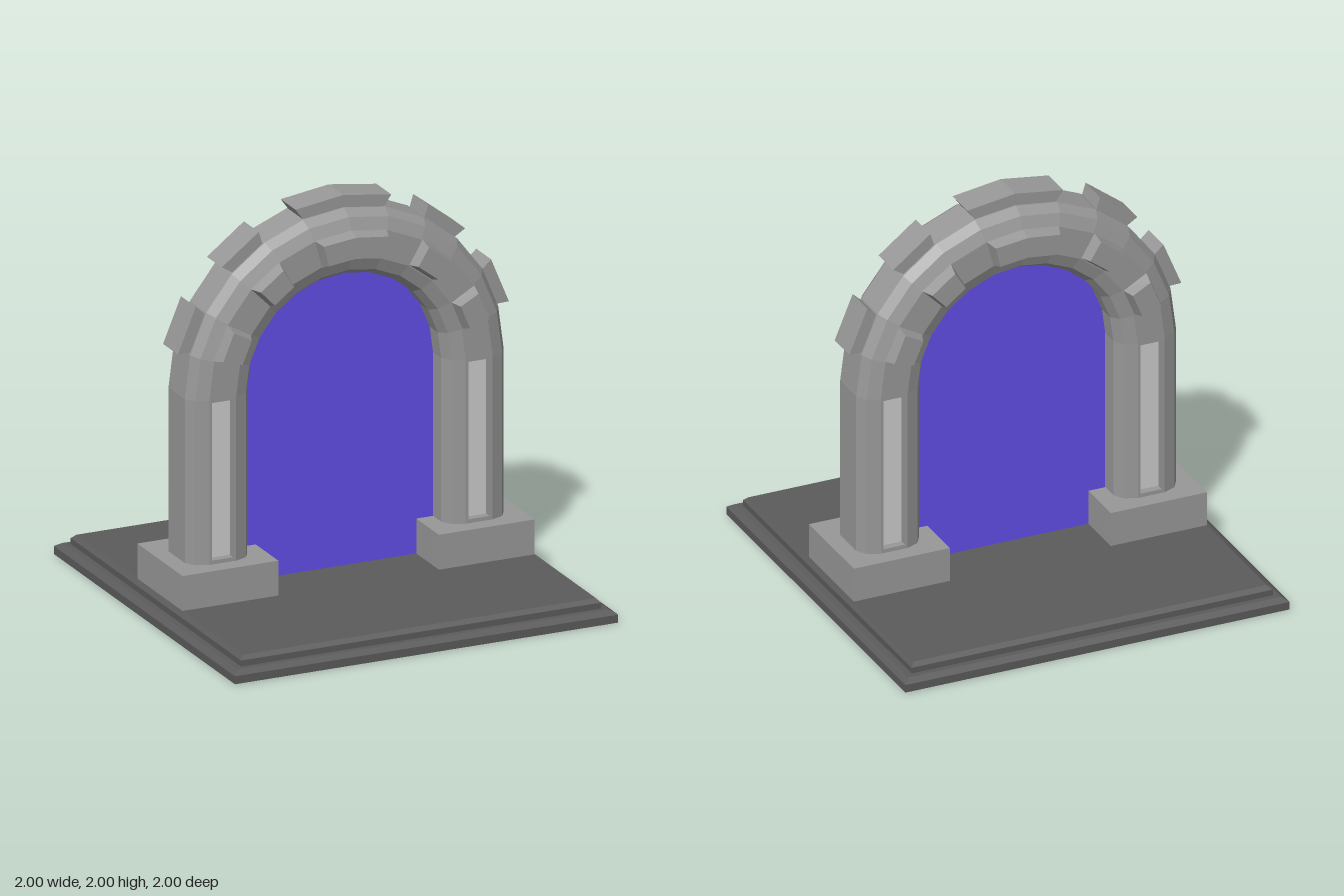
import * as THREE from 'three';

const paint = color => new THREE.MeshStandardMaterial({ color, flatShading: true });
const stone = paint(0x989898);
const darkStone = paint(0x5b5b5b);
const paleStone = paint(0xcccccc);
const violet = new THREE.MeshStandardMaterial({ color: 0x624ee7, side: THREE.DoubleSide });

const SPRING = 1.107;   // height where the legs turn into the arch
const MID = 0.669;      // centre line radius of the arch
const STEP = Math.PI / 12;

function add(parent, name, geometry, material = stone) {
  const mesh = new THREE.Mesh(geometry, material);
  mesh.name = name;
  parent.add(mesh);
  return mesh;
}

// Skin a row of closed rings (counter-clockwise about the travel direction)
function loft(rings, capped) {
  const pos = [];
  const tri = (...pts) => pts.forEach(p => pos.push(...p));
  const n = rings[0].length;
  for (let i = 0; i < rings.length - 1; i++) {
    const a = rings[i], b = rings[i + 1];
    for (let j = 0; j < n; j++) {
      const k = (j + 1) % n;
      tri(a[j], a[k], b[k]);
      tri(a[j], b[k], b[j]);
    }
  }
  if (capped) {
    const s = rings[0], e = rings[rings.length - 1];
    for (let j = 1; j < n - 1; j++) {
      tri(s[0], s[j + 1], s[j]);
      tri(e[0], e[j], e[j + 1]);
    }
  }
  const g = new THREE.BufferGeometry();
  g.setAttribute('position', new THREE.Float32BufferAttribute(pos, 3));
  g.computeVertexNormals();
  return g;
}

// Sweep [radius, z, extra half angle] corners round the arch centre
function sweep(from, to, corners, capped) {
  const n = Math.round((to - from) / STEP);
  const mid = (from + to) / 2, half = (to - from) / 2;
  const rings = [];
  for (let i = 0; i <= n; i++) {
    rings.push(corners.map(([r, z, grow = 0]) => {
      const a = mid + (half + grow) * (2 * i / n - 1);
      return [r * Math.sin(a), SPRING + r * Math.cos(a), z];
    }));
  }
  return loft(rings, capped);
}

// Chamfered section shared by arch and legs: offset from centre line, z
const half = [[0.163, 0.09], [0.132, 0.14], [0.07, 0.165], [-0.07, 0.165], [-0.132, 0.14], [-0.163, 0.09]];
const section = [...half, ...half.map(([u, z]) => [-u, -z])];

// Same section with a slot cut in the front and back
const slot = [[0.055, 0.165], [0.055, 0.125], [-0.055, 0.125], [-0.055, 0.165]];
const notchedHalf = [...half.slice(0, 3), ...slot, ...half.slice(3)];
const notched = [...notchedHalf, ...notchedHalf.map(([u, z]) => [-u, -z])];

function legPart(points, y0, y1) {
  const shape = new THREE.Shape(points.map(([u, z]) => new THREE.Vector2(u, z)));
  return new THREE.ExtrudeGeometry(shape, { depth: y1 - y0, bevelEnabled: false })
    .rotateX(-Math.PI / 2).translate(0, y0, 0);
}

export function createModel() {
  const model = new THREE.Group();
  model.name = 'archGateway';

  // Square stepped base
  const profile = [[0, 0], [1, 0], [1, 0.04], [0.97, 0.06], [0.94, 0.06], [0.94, 0.09], [0.92, 0.11], [0, 0.11]];
  add(model, 'base', new THREE.LatheGeometry(
    profile.map(([x, y]) => new THREE.Vector2(x * Math.SQRT2, y)), 4).rotateY(Math.PI / 4), darkStone);

  // Plinths and legs with pale recessed panels
  for (const [side, name] of [[1, 'left'], [-1, 'right']]) {
    const leg = new THREE.Group();
    leg.name = name + 'Leg';
    leg.position.x = side * MID;
    model.add(leg);
    add(leg, 'plinth', new THREE.BoxGeometry(0.5, 0.175, 0.5)).position.y = 0.1975;
    add(leg, 'legFoot', legPart(section, 0.25, 0.305));
    add(leg, 'legShaft', legPart(notched, 0.305, 1.095));
    add(leg, 'legTop', legPart(section, 1.095, SPRING));
    for (const z of [0.117, -0.117]) {
      add(leg, 'panel', new THREE.BoxGeometry(0.11, 0.79, 0.02), paleStone).position.set(0, 0.7, z);
    }
  }

  // Half-round arch
  add(model, 'arch', sweep(-Math.PI / 2, Math.PI / 2, section.map(([u, z]) => [MID + u, z]), false));

  // Stud spans in arch steps: keystone and two pairs
  const spans = [[-1, 1], [2, 3], [4, 5], [-3, -2], [-5, -4]];

  // Tapered studs on the front and back
  const faceCorners = [[0.6, 0.15], [0.745, 0.15], [0.725, 0.225, -0.028], [0.62, 0.225, -0.028]];
  for (const name of ['frontStuds', 'backStuds']) {
    const studs = new THREE.Group();
    studs.name = name;
    studs.rotation.y = name === 'backStuds' ? Math.PI : 0;
    model.add(studs);
    for (const [a, b] of spans) add(studs, 'faceStud', sweep(a * STEP, b * STEP, faceCorners, true));
  }

  // Flared studs along the outer rim, the keystone flaring most
  for (const [a, b] of spans) {
    const flare = b - a > 1 ? 0.022 : 0.006;
    const corners = [[0.8, -0.082, -0.02], [0.893, -0.082, flare], [0.893, 0.082, flare], [0.8, 0.082, -0.02]];
    add(model, 'rimStud', sweep(a * STEP, b * STEP, corners, true));
  }

  // Glowing sheet filling the opening
  const opening = new THREE.Shape();
  opening.moveTo(-0.515, 0.11);
  opening.lineTo(0.515, 0.11);
  opening.lineTo(0.515, SPRING);
  opening.absarc(0, SPRING, 0.515, 0, Math.PI, false);
  add(model, 'portalSheet', new THREE.ShapeGeometry(opening, 6), violet);

  return model;
}
